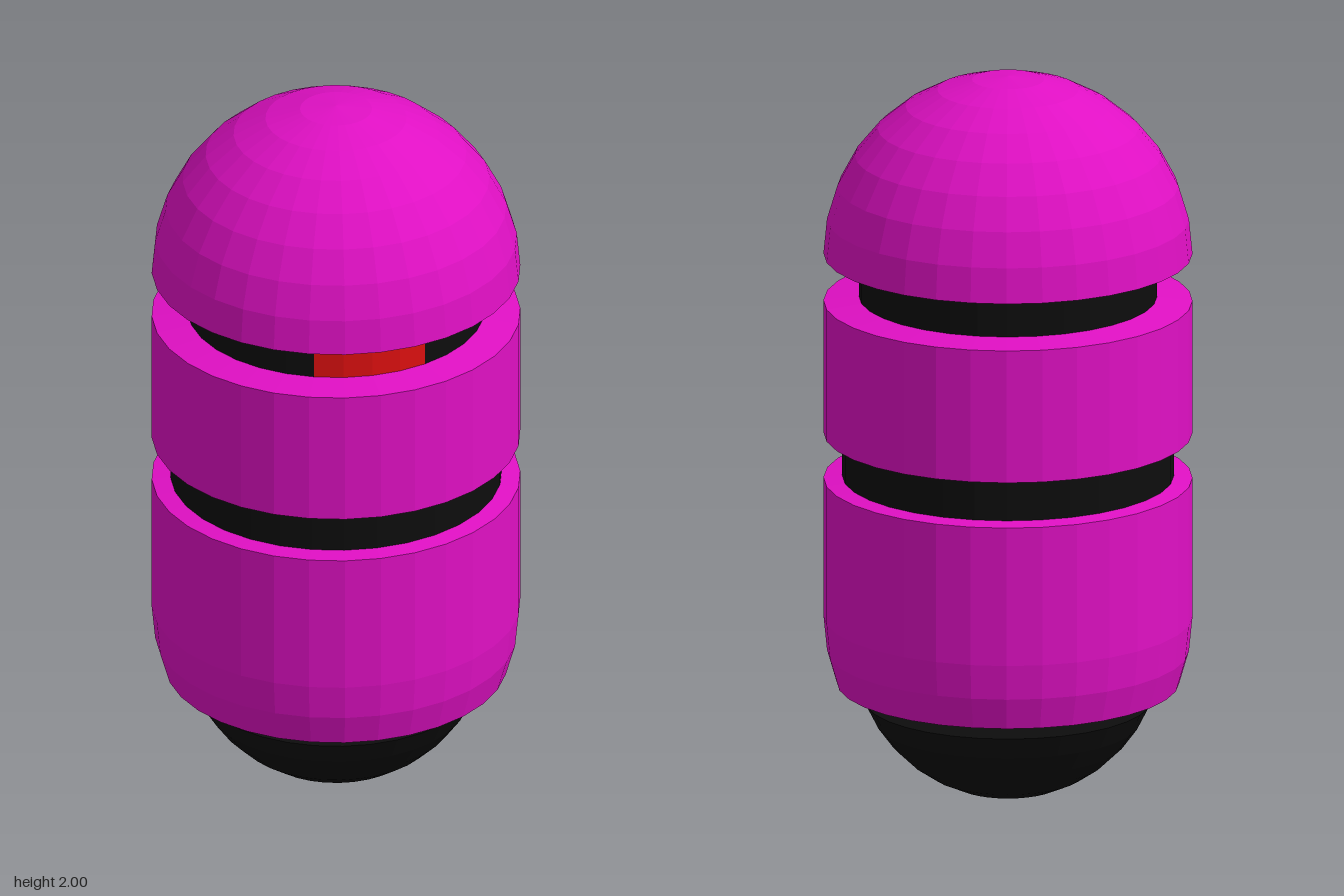
import * as THREE from 'three';

const SEGMENTS = 32;
const RADIUS = 0.495;
const STEP = Math.PI / 16;

const paint = (color) => new THREE.MeshStandardMaterial({ color, flatShading: true });

// Points of a circular profile centred on the axis, from angle a to b (0 = horizontal)
function arc(radius, centerY, a, b, steps) {
  return Array.from({ length: steps + 1 }, (_, i) => {
    const t = a + ((b - a) * i) / steps;
    return [Math.max(0, radius * Math.cos(t)), centerY + radius * Math.sin(t)];
  });
}

export function createModel() {
  const model = new THREE.Group();
  model.name = 'capsuleRobot';
  const shell = paint(0xe010c4);
  const dark = paint(0x0d0d0d);
  const red = paint(0xe01010);

  function add(name, geometry, material, y = 0) {
    const mesh = new THREE.Mesh(geometry, material);
    mesh.name = name;
    mesh.position.y = y;
    model.add(mesh);
  }

  // Solids of revolution, profiles run from bottom to top
  function turn(name, profile, material) {
    const points = profile.map(([r, y]) => new THREE.Vector2(r, y));
    add(name, new THREE.LatheGeometry(points, SEGMENTS), material);
  }

  // Domed head with a slightly conical underside
  turn('headDome', [[0, 1.495], [0.4, 1.495], ...arc(RADIUS, 1.505, 0, Math.PI / 2, 8)], shell);

  // Chest ring between the two grooves
  turn('chest', [[0, 1], [0.445, 1], [RADIUS, 1.006], [RADIUS, 1.374], [0.4, 1.386], [0, 1.386]], shell);

  // Lower body, rounded in towards its flat base
  turn('lowerBody', [
    [0, 0.31], [0.46, 0.31], ...arc(RADIUS, 0.495, -STEP, 0, 1),
    [RADIUS, 0.88], [0.445, 0.886], [0, 0.886],
  ], shell);

  // Floating foot: the bottom slice of a smaller sphere
  turn('foot', [...arc(0.415, 0.415, -Math.PI / 2, -0.383, 7), [0, 0.26]], dark);

  // Recessed waist band
  add('waistBand', new THREE.CylinderGeometry(0.445, 0.445, 0.13, SEGMENTS, 1, true), dark, 0.943);

  // Recessed visor band with the eye let into its front
  const eyeHalf = 2 * STEP;
  const visorBand = (sides, start, length) =>
    new THREE.CylinderGeometry(0.4, 0.4, 0.13, sides, 1, true, start, length);
  add('visor', visorBand(SEGMENTS - 4, eyeHalf, 2 * Math.PI - 2 * eyeHalf), dark, 1.44);
  add('eye', visorBand(4, -eyeHalf, 2 * eyeHalf), red, 1.44);

  return model;
}
